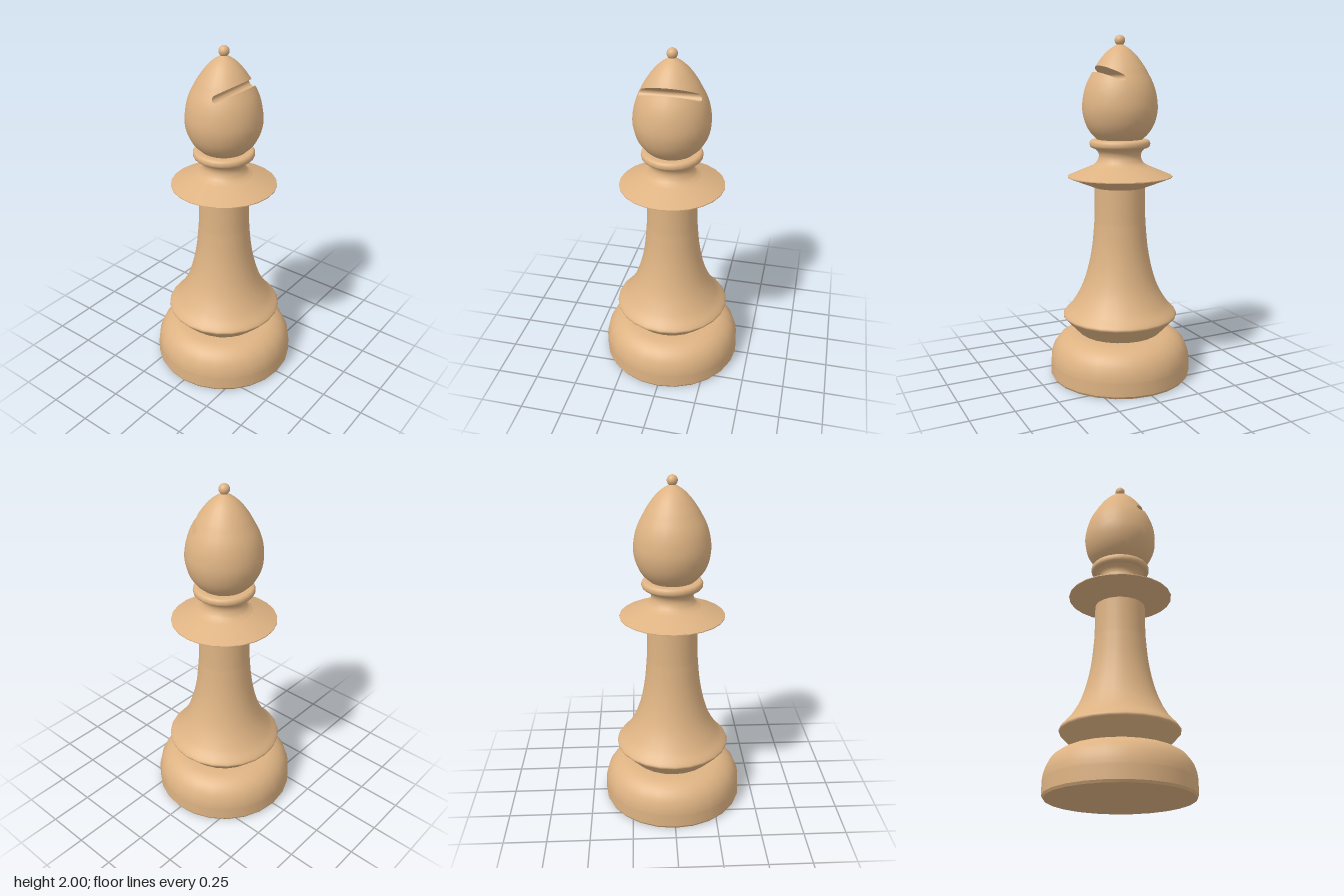
import * as THREE from 'three';
import { toCreasedNormals } from 'three/addons/utils/BufferGeometryUtils.js';

const SIDES = 24;
const V2 = (p) => new THREE.Vector2(p[0], p[1]);
const smooth = (pts, n) => new THREE.SplineCurve(pts.map(V2)).getPoints(n);

// Slot across the head: runs along z, rounded inner end, open toward upper +x
const SLOT = { x: 0.068, y: 1.766, angle: Math.PI / 6, half: 0.02 };

function slotOutline() {
  const pts = [[0.25, SLOT.half]];
  for (let i = 0; i <= 8; i++) {
    const a = Math.PI / 2 + (Math.PI * i) / 8;
    pts.push([SLOT.half * Math.cos(a), SLOT.half * Math.sin(a)]);
  }
  pts.push([0.25, -SLOT.half]);
  return pts.map((p) => V2(p).rotateAround(new THREE.Vector2(), SLOT.angle).add(V2([SLOT.x, SLOT.y])));
}

// Signed side of a point against the edge a-b (positive is inside the slot)
const side = (p, a, b) => (b.x - a.x) * (p.y - a.y) - (b.y - a.y) * (p.x - a.x);

// Removes the slot from a geometry by splitting each triangle along the outline
function cutSlot(geometry, outline) {
  const g = geometry.toNonIndexed();
  const P = g.attributes.position, N = g.attributes.normal;
  const pos = [], nor = [];
  const emit = (poly) => {
    for (let i = 1; i + 1 < poly.length; i++) {
      for (const v of [poly[0], poly[i], poly[i + 1]]) {
        pos.push(...v.p.toArray());
        nor.push(...v.n.clone().normalize().toArray());
      }
    }
  };
  const split = (poly, a, b) => {
    const inside = [], outside = [];
    poly.forEach((v, i) => {
      const w = poly[(i + 1) % poly.length];
      const dv = side(v.p, a, b), dw = side(w.p, a, b);
      (dv >= 0 ? inside : outside).push(v);
      if ((dv >= 0) !== (dw >= 0)) {
        const t = dv / (dv - dw);
        const m = { p: v.p.clone().lerp(w.p, t), n: v.n.clone().lerp(w.n, t) };
        inside.push(m);
        outside.push(m);
      }
    });
    return [inside, outside];
  };
  for (let i = 0; i < P.count; i += 3) {
    let poly = [0, 1, 2].map((k) => ({
      p: new THREE.Vector3().fromBufferAttribute(P, i + k),
      n: new THREE.Vector3().fromBufferAttribute(N, i + k),
    }));
    const pieces = [];
    for (let e = 0; e + 1 < outline.length && poly.length; e++) {
      const [inside, outside] = split(poly, outline[e], outline[e + 1]);
      pieces.push(outside);
      poly = inside;
    }
    pieces.forEach(emit);
  }
  const out = new THREE.BufferGeometry();
  out.setAttribute('position', new THREE.Float32BufferAttribute(pos, 3));
  out.setAttribute('normal', new THREE.Float32BufferAttribute(nor, 3));
  return out;
}

// Inner walls of the slot, reaching exactly to the faceted head surface
function slotWalls(profile, outline) {
  const radius = (y) => {
    const i = profile.findIndex((p) => p.y > y);
    if (i < 1) return 0;
    const a = profile[i - 1], b = profile[i];
    return a.x + ((b.x - a.x) * (y - a.y)) / (b.y - a.y);
  };
  const depth = (p) => {
    const r = radius(p.y), step = (2 * Math.PI) / SIDES;
    if (p.x >= r) return 0;
    const k = Math.floor(Math.acos(p.x / r) / step);
    const c0 = Math.cos(k * step), c1 = Math.cos((k + 1) * step);
    return r * THREE.MathUtils.lerp(Math.sin(k * step), Math.sin((k + 1) * step), (p.x / r - c0) / (c1 - c0));
  };
  // Point where a long edge leaves the head
  const exit = (from, to) => {
    let lo = 0, hi = 1;
    for (let i = 0; i < 30; i++) {
      const mid = (lo + hi) / 2, q = from.clone().lerp(to, mid);
      if (q.x < radius(q.y)) lo = mid; else hi = mid;
    }
    return from.clone().lerp(to, lo);
  };
  const edge = (from, to) => {
    const end = exit(from, to), pts = [];
    for (let i = 0; i <= 20; i++) pts.push(from.clone().lerp(end, 1 - (1 - i / 20) ** 2));
    return pts;
  };
  const n = outline.length;
  const path = [
    ...edge(outline[1], outline[0]).reverse(),
    ...outline.slice(2, n - 2),
    ...edge(outline[n - 2], outline[n - 1]),
  ];
  const pos = [];
  for (let i = 0; i + 1 < path.length; i++) {
    const a = path[i], b = path[i + 1], za = depth(a), zb = depth(b);
    pos.push(a.x, a.y, -za, a.x, a.y, za, b.x, b.y, zb);
    pos.push(a.x, a.y, -za, b.x, b.y, zb, b.x, b.y, -zb);
  }
  const g = new THREE.BufferGeometry();
  g.setAttribute('position', new THREE.Float32BufferAttribute(pos, 3));
  g.computeVertexNormals();
  return toCreasedNormals(g, 0.6);
}

export function createModel() {
  const group = new THREE.Group();
  const wood = new THREE.MeshStandardMaterial({ color: 0xdeb383 });
  wood.name = 'light wood';

  const add = (name, geometry) => {
    const mesh = new THREE.Mesh(geometry, wood);
    mesh.name = name;
    group.add(mesh);
    return mesh;
  };
  const lathe = (name, pts) => add(name, new THREE.LatheGeometry(pts, SIDES));

  // Foot
  lathe('footUnderside', [[0, 0], [0.41, 0]].map(V2));
  lathe('footBevel', [[0.41, 0], [0.418, 0.014]].map(V2));
  lathe('foot', [V2([0.418, 0.014]), ...smooth([
    [0.418, 0.09], [0.412, 0.135], [0.393, 0.185], [0.36, 0.225], [0.315, 0.252], [0.27, 0.262], [0.235, 0.264],
  ], 18)]);

  // Skirt and stem
  lathe('skirtUnderside', [[0.238, 0.262], [0.247, 0.268], [0.328, 0.353]].map(V2));
  lathe('stem', [...smooth([
    [0.328, 0.353], [0.339, 0.367], [0.332, 0.385], [0.283, 0.44], [0.229, 0.534],
    [0.19, 0.65], [0.164, 0.785], [0.15, 0.94],
  ], 32), V2([0.148, 1.04]), V2([0.148, 1.135])]);

  // Wide flange and neck
  lathe('flangeUnderside', [[0.148, 1.135], [0.305, 1.196]].map(V2));
  lathe('flangeEdge', [[0.305, 1.196], [0.305, 1.201]].map(V2));
  lathe('flangeTop', [[0.305, 1.201], [0.165, 1.26]].map(V2));
  lathe('neck', smooth([
    [0.165, 1.26], [0.14, 1.277], [0.126, 1.3], [0.122, 1.322], [0.13, 1.345], [0.15, 1.364],
  ], 14));

  // Rounded collar ring
  lathe('collar', smooth([
    [0.13, 1.363], [0.158, 1.364], [0.172, 1.373], [0.176, 1.388], [0.172, 1.403], [0.158, 1.412], [0.12, 1.413],
  ], 18));

  // Head with slanted slot
  const headProfile = smooth([
    [0.125, 1.408], [0.168, 1.45], [0.2, 1.506], [0.217, 1.58], [0.211, 1.66], [0.191, 1.73],
    [0.159, 1.793], [0.137, 1.83], [0.102, 1.878], [0.062, 1.918], [0.016, 1.948],
  ], 40);
  const outline = slotOutline();
  add('head', cutSlot(new THREE.LatheGeometry(headProfile, SIDES), outline));
  add('headSlot', slotWalls(headProfile, outline));

  // Small finial ball
  add('finial', new THREE.SphereGeometry(0.03, SIDES, 16)).position.y = 1.97;

  return group;
}
